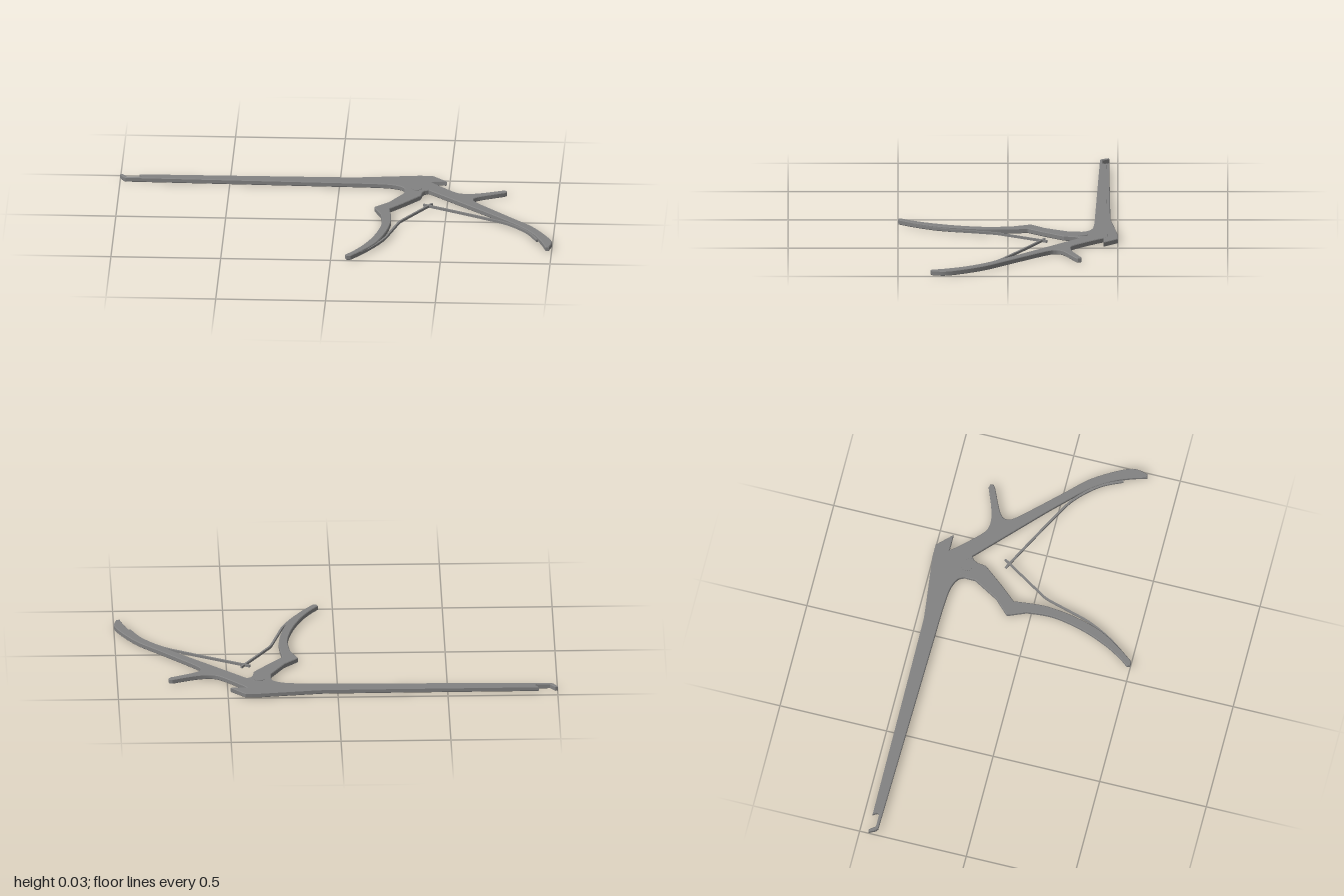
import * as THREE from 'three';
import { toCreasedNormals } from 'three/addons/utils/BufferGeometryUtils.js';

const MID = 0.0135; // height of the flat tool's middle plane
const metal = new THREE.MeshStandardMaterial({ color: 0x828282 });

// Outline from runs of [x, z] points: a run is straight unless marked as curved
function outline(runs) {
  const pts = [];
  for (const { p, curve } of runs) {
    const v = p.map(([x, z]) => new THREE.Vector2(x, -z));
    pts.push(...(curve ? new THREE.SplineCurve(v).getPoints(v.length * 4) : v));
  }
  return new THREE.Shape(pts);
}

// Flat plate lying in the xz plane with chamfered edges
function plate(name, shape, thickness, bevel) {
  const geo = new THREE.ExtrudeGeometry(shape, {
    depth: thickness - 2 * bevel, bevelEnabled: bevel > 0, bevelThickness: bevel,
    bevelSize: bevel, bevelOffset: -bevel, bevelSegments: 1,
  });
  geo.translate(0, 0, bevel - thickness / 2);
  geo.rotateX(-Math.PI / 2);
  const mesh = new THREE.Mesh(toCreasedNormals(geo, 0.5), metal);
  mesh.name = name;
  mesh.position.y = MID;
  return mesh;
}

// Thin leaf spring following a path of [x, z] points
function leafSpring(name, path, width, height) {
  const line = new THREE.SplineCurve(path.map(([x, z]) => new THREE.Vector2(x, -z)));
  const left = [], right = [];
  for (let i = 0; i <= 30; i++) {
    const p = line.getPoint(i / 30), t = line.getTangent(i / 30);
    const n = new THREE.Vector2(-t.y, t.x).multiplyScalar(width / 2);
    left.push(p.clone().add(n));
    right.unshift(p.clone().sub(n));
  }
  return plate(name, new THREE.Shape([...left, ...right]), height, 0);
}

export function createModel() {
  const model = new THREE.Group();
  model.name = 'bonePunch';

  // Fixed shaft with hooked jaw, rear handle and thumb spur; its top edge runs inside the sliding bar
  model.add(plate('shaftAndRearHandle', outline([
    { p: [[-1.002, -0.458], [-0.99, -0.462], [-0.967, -0.432], [-0.905, -0.432], [-0.9, -0.45], [0.39, -0.455], [0.41, -0.437]] },
    { curve: true, p: [[0.43, -0.41], [0.52, -0.315], [0.565, -0.288], [0.62, -0.29], [0.68, -0.308]] },
    { p: [[0.75, -0.336], [0.764, -0.333], [0.768, -0.318], [0.757, -0.308]] },
    { curve: true, p: [[0.68, -0.273], [0.638, -0.25], [0.62, -0.225], [0.634, -0.185], [0.725, -0.085],
      [0.82, 0.015], [0.9, 0.1], [0.966, 0.205], [0.999, 0.285], [0.988, 0.35]] },
    { curve: true, p: [[0.972, 0.352], [0.95, 0.28], [0.915, 0.2], [0.855, 0.11], [0.76, 0.01], [0.695, -0.055]] },
    { p: [[0.41, -0.326], [0.38, -0.308], [0.34, -0.3], [0.31, -0.31]] },
    { curve: true, p: [[0.302, -0.33], [0.285, -0.363], [0.23, -0.386], [0.13, -0.394], [0, -0.397]] },
    { p: [[-0.975, -0.419], [-0.985, -0.427]] },
  ]), 0.0225, 0.003));

  // Sliding upper bar with raised tail
  model.add(plate('slidingBar', outline([
    { p: [[-0.914, -0.461], [-0.2, -0.465], [0.06, -0.467], [0.12, -0.473], [0.36, -0.502], [0.422, -0.502],
      [0.488, -0.434], [0.4, -0.434], [0.1, -0.42], [-0.895, -0.429]] },
  ]), 0.022, 0.003));

  // Hinged front handle with finger rest
  model.add(plate('frontHandle', outline([
    { p: [[0.31, -0.36], [0.3, -0.33], [0.3, -0.285], [0.235, -0.17]] },
    { p: [[0.173, -0.107], [0.174, -0.097]] },
    { curve: true, p: [[0.206, -0.02], [0.214, 0.1], [0.187, 0.24], [0.142, 0.36], [0.098, 0.44], [0.065, 0.485]] },
    { p: [[0.072, 0.501], [0.092, 0.498]] },
    { curve: true, p: [[0.136, 0.44], [0.2, 0.33], [0.238, 0.2], [0.255, 0.08], [0.253, 0], [0.243, -0.09]] },
    { p: [[0.303, -0.16], [0.378, -0.255], [0.383, -0.295], [0.4, -0.33], [0.38, -0.365]] },
  ]), 0.023, 0.003));

  // Pair of crossing springs between the handles
  model.add(leafSpring('frontSpring', [[0.432, -0.178], [0.37, -0.077], [0.312, 0.018], [0.295, 0.048],
    [0.283, 0.085], [0.257, 0.18], [0.23, 0.27], [0.18, 0.37], [0.128, 0.444]], 0.009, 0.011));
  model.add(leafSpring('rearSpring',
    [[0.393, -0.167], [0.54, -0.09], [0.687, -0.01], [0.79, 0.053], [0.88, 0.15], [0.93, 0.25]], 0.01, 0.011));

  // Pivot screw, proud on both faces
  const pivot = new THREE.Mesh(new THREE.CylinderGeometry(0.024, 0.024, 2 * MID, 32), metal);
  pivot.name = 'pivotScrew';
  pivot.position.set(0.355, MID, -0.34);
  model.add(pivot);

  return model;
}
